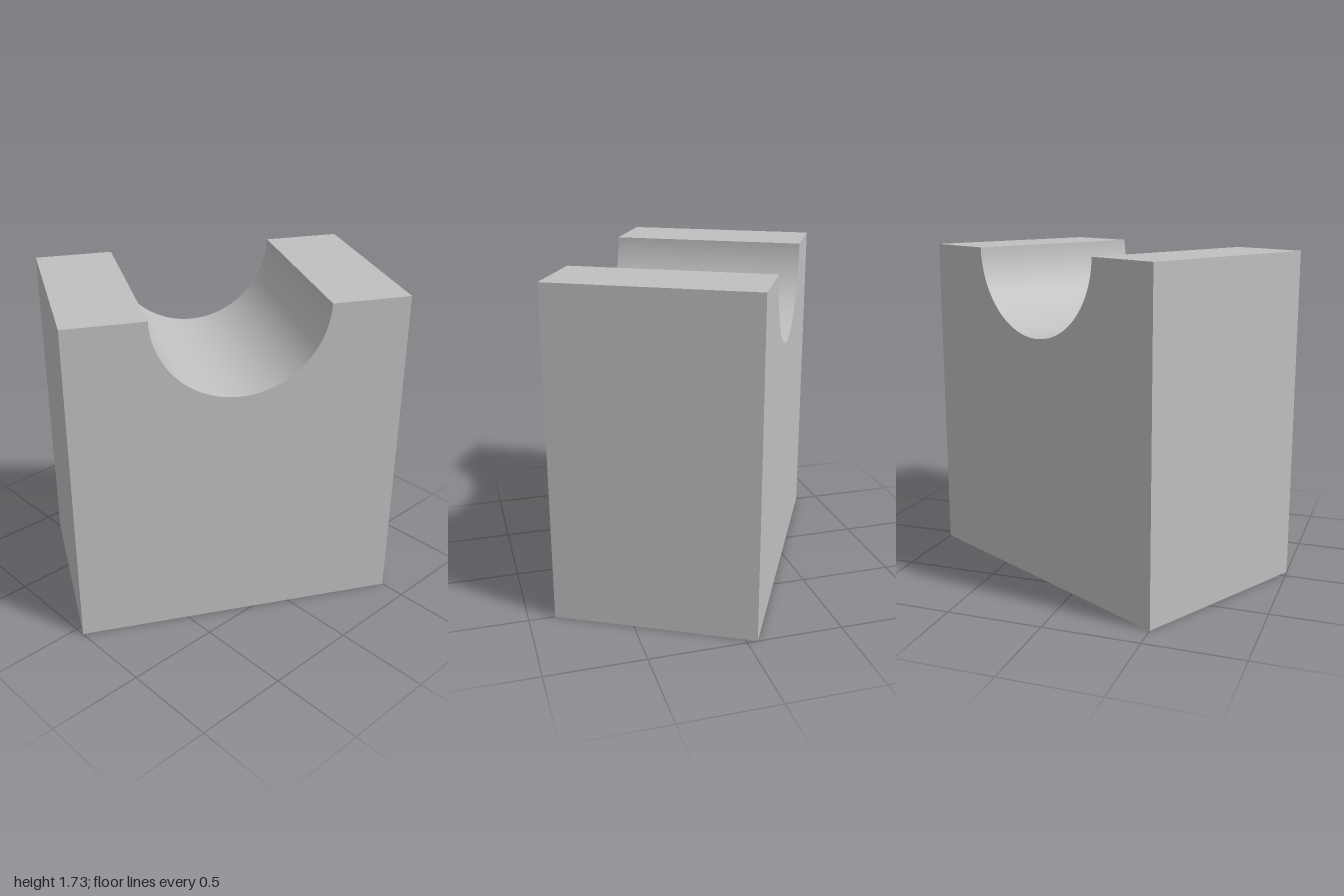
import * as THREE from 'three';
import { toCreasedNormals } from 'three/addons/utils/BufferGeometryUtils.js';

const LENGTH = 1.706, DEPTH = 1.046, HEIGHT = 1.733;
const GROOVE_RADIUS = 0.447, GROOVE_RISE = 0.011; // groove axis sits just above the top face
const TURN = THREE.MathUtils.degToRad(61.6);

export function createModel() {
  const group = new THREE.Group();
  group.name = 'saddleBlock';

  const grey = new THREE.MeshStandardMaterial({ color: 0xc0c0c0 });
  grey.name = 'light grey';

  // Block outline with a round groove cut into the top
  const dip = Math.asin(GROOVE_RISE / GROOVE_RADIUS);
  const profile = new THREE.Shape();
  profile.moveTo(-LENGTH / 2, 0);
  profile.lineTo(LENGTH / 2, 0);
  profile.lineTo(LENGTH / 2, HEIGHT);
  profile.absarc(0, HEIGHT + GROOVE_RISE, GROOVE_RADIUS, -dip, -Math.PI + dip, true);
  profile.lineTo(-LENGTH / 2, HEIGHT);
  profile.closePath();

  const geometry = new THREE.ExtrudeGeometry(profile, {
    depth: DEPTH, bevelEnabled: false, curveSegments: 64,
  });
  geometry.translate(0, 0, -DEPTH / 2);

  // Smooth groove, sharp block edges
  const block = new THREE.Mesh(toCreasedNormals(geometry, Math.PI / 6), grey);
  block.name = 'groovedBlock';
  block.rotation.y = TURN;
  group.add(block);

  return group;
}
